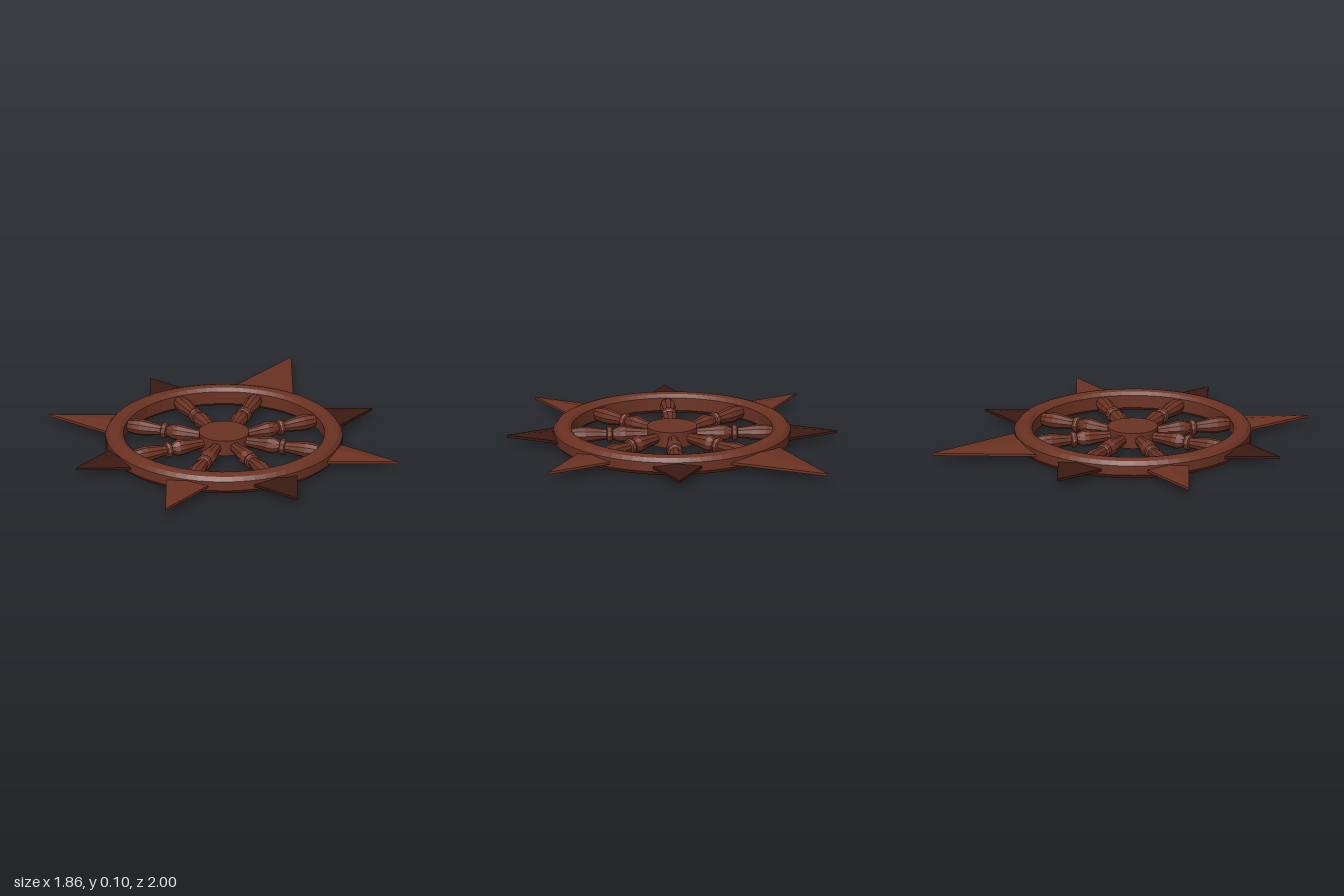
import * as THREE from 'three';

const wood = new THREE.MeshStandardMaterial({ color: 0x6b3222, flatShading: true });
const darkWood = new THREE.MeshStandardMaterial({ color: 0x3a1a12, flatShading: true });
const MID = 0.0525; // half height of the wheel

const points = (list) => list.map(([x, y]) => new THREE.Vector2(x, y));

function add(parent, name, geometry, material = wood) {
  const mesh = new THREE.Mesh(geometry, material);
  mesh.name = name;
  parent.add(mesh);
  return mesh;
}

// Flat-bottomed point with a low ridge, tapering along +x to a thin vertical edge
function spikeGeometry(inner, tip, halfWidth) {
  const low = 0.042, edge = 0.055, ridge = 0.076;
  const v = [
    [inner, low, halfWidth], [inner, low, -halfWidth],
    [inner, edge, halfWidth], [inner, edge, -halfWidth],
    [inner, ridge, 0], [tip, low, 0], [tip, edge, 0],
  ];
  const faces = [
    0, 1, 5,            // underside
    0, 5, 6, 0, 6, 2,   // side +z
    1, 3, 6, 1, 6, 5,   // side -z
    2, 6, 4, 4, 6, 3,   // sloping top
    0, 2, 1, 1, 2, 3, 2, 4, 3, // base
  ];
  const geometry = new THREE.BufferGeometry();
  geometry.setAttribute('position', new THREE.Float32BufferAttribute(faces.flatMap((i) => v[i]), 3));
  geometry.computeVertexNormals();
  return geometry;
}

export function createModel() {
  const wheel = new THREE.Group();
  wheel.name = 'wheel';
  wheel.position.z = 0.065;

  // Rim with bevelled edges and a shallow stepped top
  const rim = points([
    [0.508, 0.02], [0.525, 0.004], [0.555, 0], [0.58, 0.008], [0.598, 0.028],
    [0.598, 0.077], [0.58, 0.097], [0.555, 0.105], [0.545, 0.105],
    [0.525, 0.101], [0.508, 0.085], [0.508, 0.02],
  ]);
  add(wheel, 'rim', new THREE.LatheGeometry(rim, 64));

  // Hub disc
  const hub = points([[0, 0.012], [0.127, 0.012], [0.127, 0.093], [0, 0.093]]);
  add(wheel, 'hub', new THREE.LatheGeometry(hub, 32));

  // Turned spokes: [radius, distance from the wheel centre]
  const spoke = new THREE.LatheGeometry(points([
    [0.027, 0.1], [0.027, 0.135], [0.033, 0.19], [0.042, 0.24], [0.041, 0.262],
    [0.031, 0.287], [0.028, 0.3], [0.038, 0.304], [0.042, 0.312], [0.042, 0.32],
    [0.038, 0.328], [0.028, 0.332], [0.029, 0.35], [0.038, 0.41], [0.041, 0.44],
    [0.039, 0.475], [0.032, 0.508], [0.03, 0.53],
  ]), 10);
  spoke.rotateZ(-Math.PI / 2);

  // Long points on the axes, short dark ones between, and a larger one at the back
  const longSpike = spikeGeometry(0.54, 0.93, 0.126);
  const backSpike = spikeGeometry(0.54, 1.065, 0.19);
  const shortSpike = spikeGeometry(0.55, 0.835, 0.14);

  for (let i = 0; i < 8; i++) {
    const angle = (i * Math.PI) / 4;
    const s = add(wheel, 'spoke', spoke);
    s.position.y = MID;
    s.rotation.y = angle;
    const diagonal = i % 2 === 1;
    const geometry = diagonal ? shortSpike : i === 2 ? backSpike : longSpike;
    const name = diagonal ? 'shortSpike' : i === 2 ? 'backSpike' : 'longSpike';
    add(wheel, name, geometry, diagonal ? darkWood : wood).rotation.y = angle;
  }

  const model = new THREE.Group();
  model.name = 'spikedWheel';
  model.add(wheel);
  return model;
}
